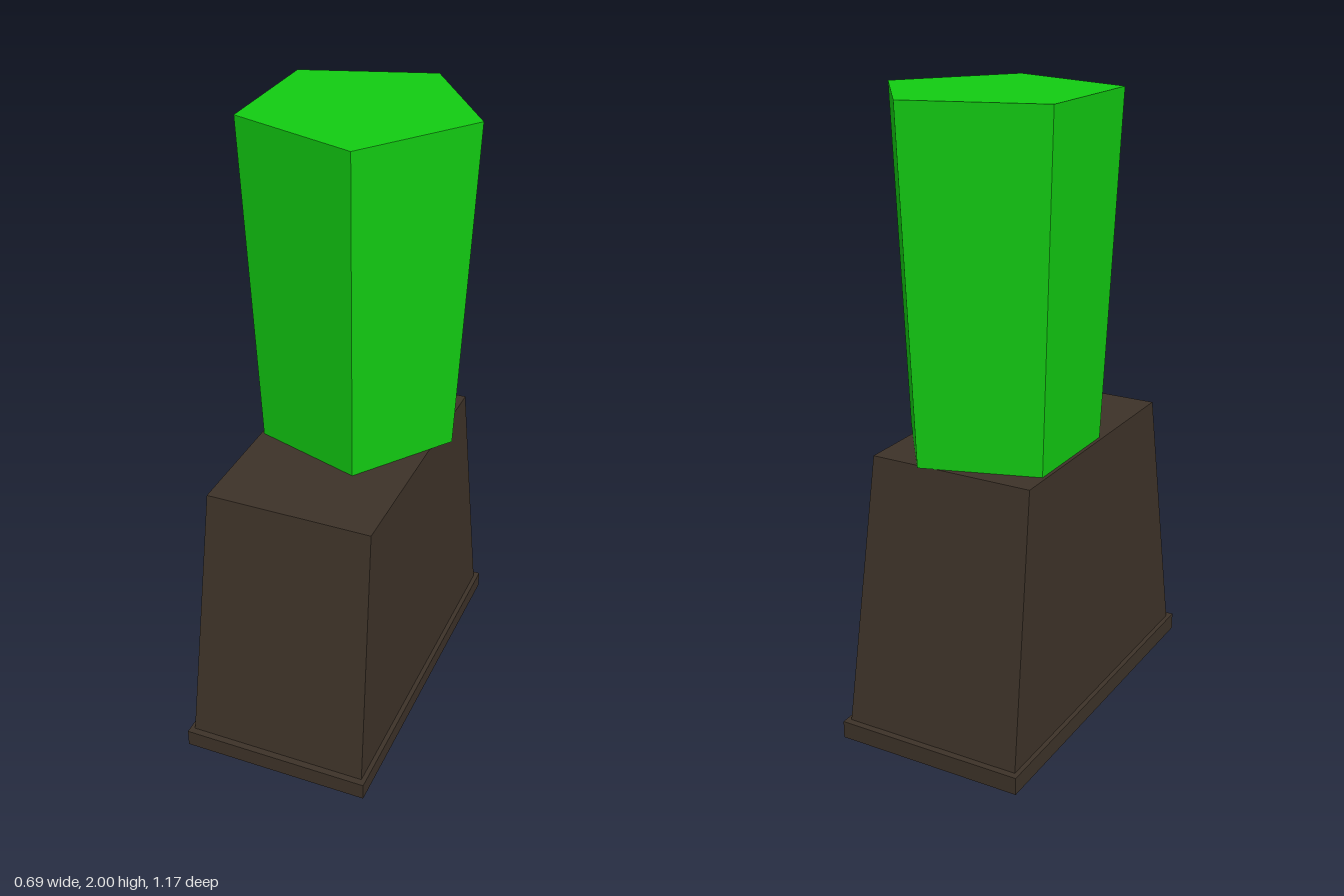
import * as THREE from 'three';

const CENTRE_X = -0.031;

// Box whose top face is scaled to a different size
function taperedBox(bottomW, bottomD, topW, topD, height) {
  const geometry = new THREE.BoxGeometry(bottomW, height, bottomD);
  const pos = geometry.attributes.position;
  for (let i = 0; i < pos.count; i++) {
    if (pos.getY(i) > 0) {
      pos.setX(i, Math.sign(pos.getX(i)) * topW / 2);
      pos.setZ(i, Math.sign(pos.getZ(i)) * topD / 2);
    }
  }
  geometry.computeVertexNormals();
  return geometry;
}

export function createModel() {
  const model = new THREE.Group();
  const brown = new THREE.MeshStandardMaterial({ color: 0x3d3228, flatShading: true });
  brown.name = 'darkBrown';
  const green = new THREE.MeshStandardMaterial({ color: 0x12cc12, flatShading: true });
  green.name = 'brightGreen';

  function add(name, geometry, material, bottom, height, z = 0) {
    const mesh = new THREE.Mesh(geometry, material);
    mesh.name = name;
    mesh.position.set(CENTRE_X, bottom + height / 2, z);
    model.add(mesh);
  }

  // Thin foot and tapered pedestal
  add('foot', new THREE.BoxGeometry(0.624, 0.057, 1.168), brown, 0, 0.057);
  add('pedestal', taperedBox(0.594, 1.124, 0.54, 0.858, 0.86), brown, 0.057, 0.86);

  // Five-sided column, widening upwards, one corner towards +x
  const column = new THREE.CylinderGeometry(0.373, 0.321, 1.082, 5, 1, false, Math.PI / 2);
  add('column', column, green, 0.918, 1.082, -0.143);

  return model;
}
